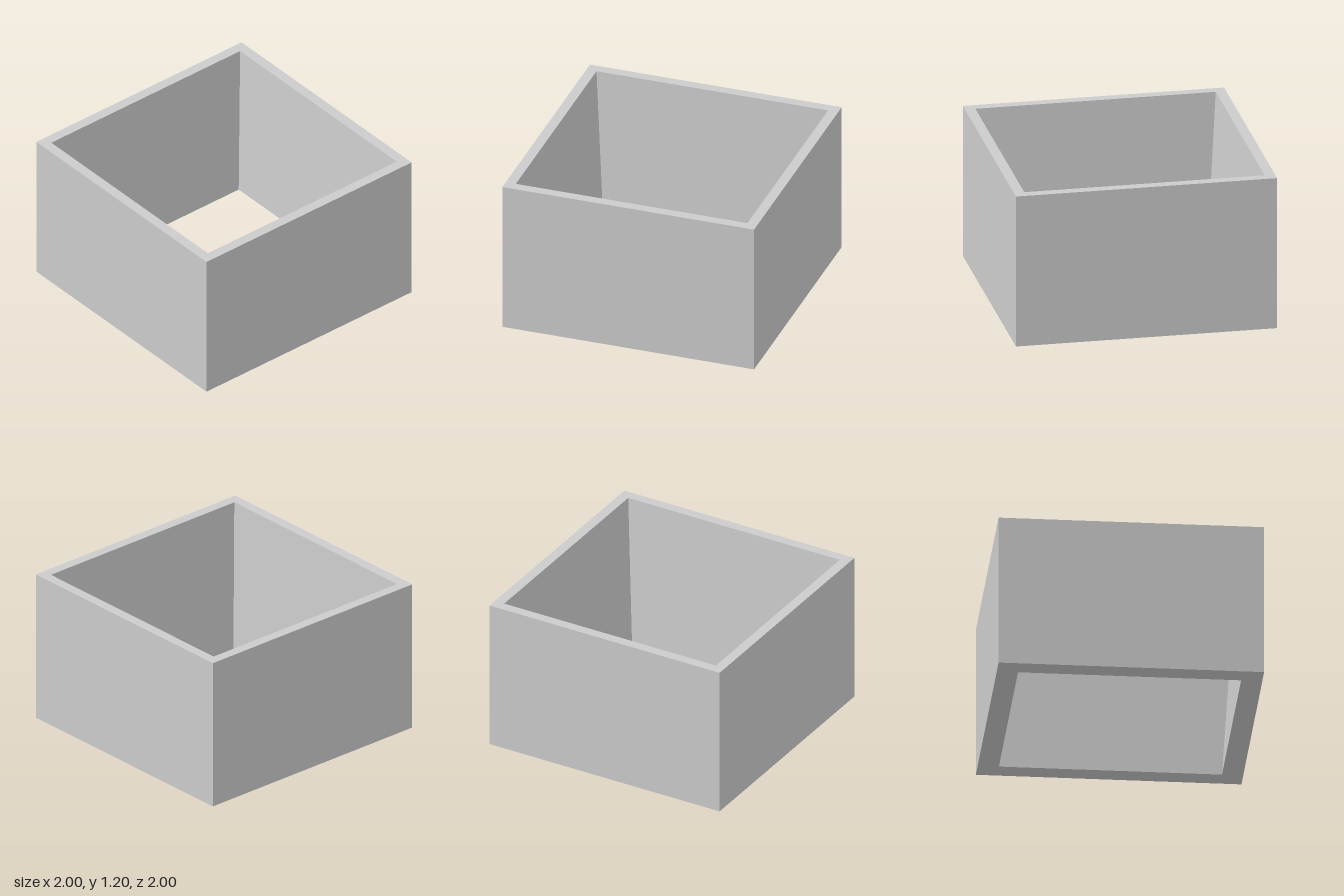
import * as THREE from 'three';

export function createModel() {
  const group = new THREE.Group();
  group.name = 'openBox';

  const height = 1.2;
  const outer = 1;          // half width outside
  const innerTop = 0.92;    // half width of the upper opening
  const innerBottom = 0.84; // half width of the lower opening

  // Wall section swept round four corners; a corner lies sqrt(2) half widths out
  const section = [
    [innerBottom, 0],
    [outer, 0],
    [outer, height],
    [innerTop, height],
    [innerBottom, 0],
  ].map(([half, y]) => new THREE.Vector2(half * Math.SQRT2, y));

  const geometry = new THREE.LatheGeometry(section, 4, Math.PI / 4);
  const material = new THREE.MeshStandardMaterial({ color: 0xcccccc, flatShading: true });

  // Square frame with upright outer faces and tapering inner faces
  const walls = new THREE.Mesh(geometry, material);
  walls.name = 'taperedWalls';
  group.add(walls);

  return group;
}
